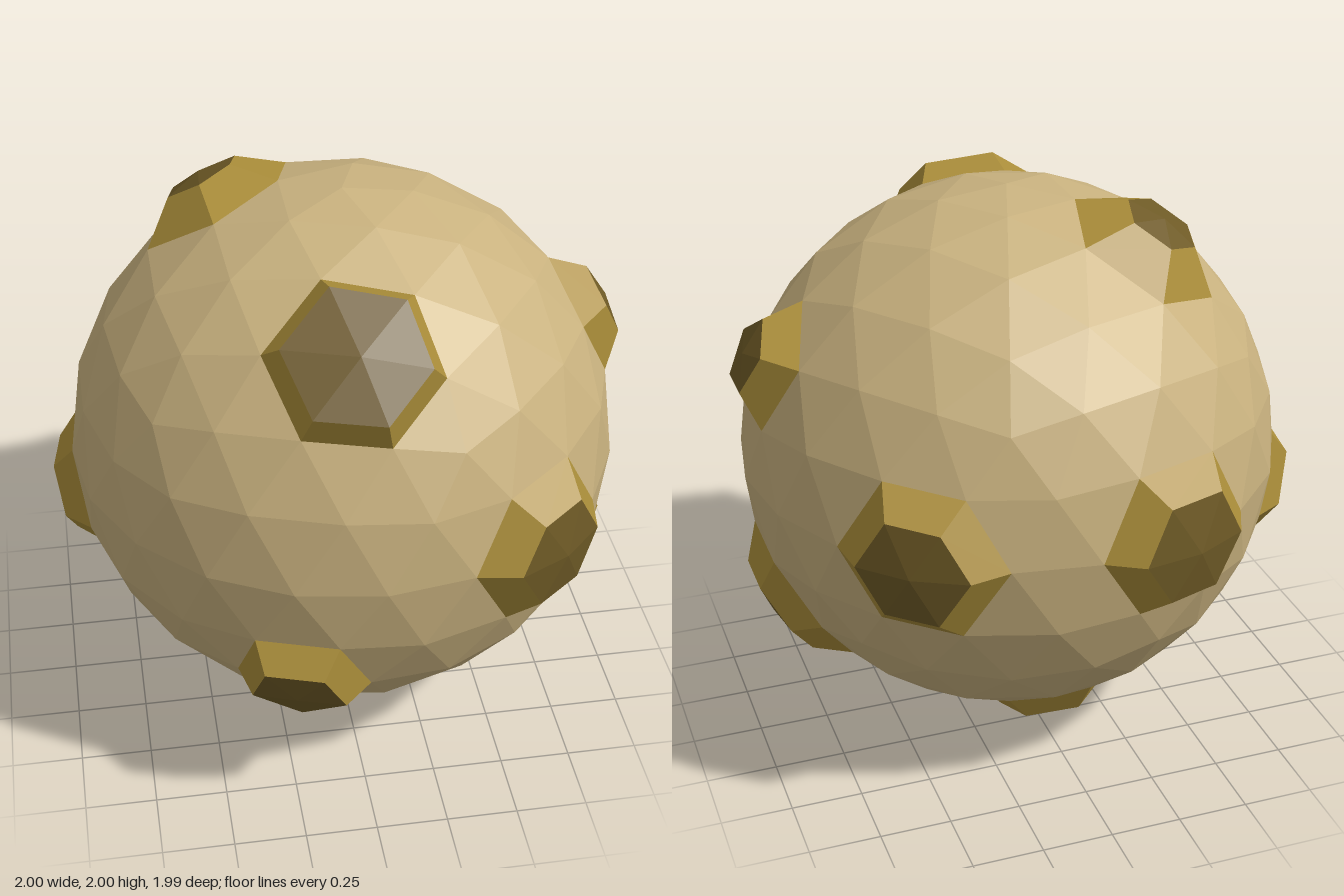
import * as THREE from 'three';

const R = 0.96;
const CENTRE = [0.025, 1.03, 0.03];
const LIFT = 0.09;

// Each bump: rough direction from the ball's centre, and top size relative to base
const BUMPS = [
  [0.894, 0.447, 0, 0.57],
  [-0.276, -0.447, 0.85, 0.7],
  [0.588, 0, 0.809, 0.64],
  [0.588, 0, -0.809, 0.66],
  [-0.05, 0.71, 0.69, 0.82],
  [-0.406, 0.86, -0.31, 0.48],
  [0.866, -0.5, 0, 0.66],
  [-0.95, -0.25, -0.147, 0.65],
  [-0.077, -0.97, -0.238, 0.65],
  [-0.309, 0, -0.951, 0.68],
];

function flatMesh(name, points, color) {
  const geometry = new THREE.BufferGeometry().setFromPoints(points);
  geometry.computeVertexNormals();
  const mesh = new THREE.Mesh(geometry, new THREE.MeshStandardMaterial({ color, flatShading: true }));
  mesh.name = name;
  return mesh;
}

export function createModel() {
  const group = new THREE.Group();
  group.name = 'bumpyBall';

  // Faceted ball with a corner of the icosahedron at each pole
  const ball = new THREE.IcosahedronGeometry(R, 3);
  ball.rotateZ(-Math.atan(2 / (1 + Math.sqrt(5))));
  const pos = ball.attributes.position;
  const verts = [];
  for (let i = 0; i < pos.count; i++) verts.push(new THREE.Vector3().fromBufferAttribute(pos, i));

  // Snap every bump to the closest corner of the ball
  const bumps = BUMPS.map(([x, y, z, size]) => {
    const dir = new THREE.Vector3(x, y, z).normalize();
    const centre = verts.reduce((best, v) => (v.dot(dir) > best.dot(dir) ? v : best));
    return { centre, size, lift: centre.clone().setLength(LIFT), sides: [], top: [] };
  });

  // Faces around a bump's centre become sloping sides and a raised top
  const body = [];
  for (let i = 0; i < verts.length; i += 3) {
    const tri = verts.slice(i, i + 3);
    let used = false;
    for (const bump of bumps) {
      const k = tri.findIndex((v) => v.distanceTo(bump.centre) < 1e-4);
      if (k < 0) continue;
      const [b, c] = [tri[(k + 1) % 3], tri[(k + 2) % 3]];
      const raise = (p) => bump.centre.clone().lerp(p, bump.size).add(bump.lift);
      const [a2, b2, c2] = [bump.centre, b, c].map(raise);
      bump.sides.push(b, c, c2, b, c2, b2);
      bump.top.push(a2, b2, c2);
      used = true;
      break;
    }
    if (!used) body.push(...tri);
  }

  group.add(flatMesh('ball', body, 0xc9b27f));
  bumps.forEach((bump, i) => {
    const part = new THREE.Group();
    part.name = `bump${i + 1}`;
    part.add(flatMesh('bumpSides', bump.sides, 0xab8e3a), flatMesh('bumpTop', bump.top, 0x6e5a26));
    group.add(part);
  });

  group.children.forEach((child) => child.position.set(...CENTRE));
  return group;
}
